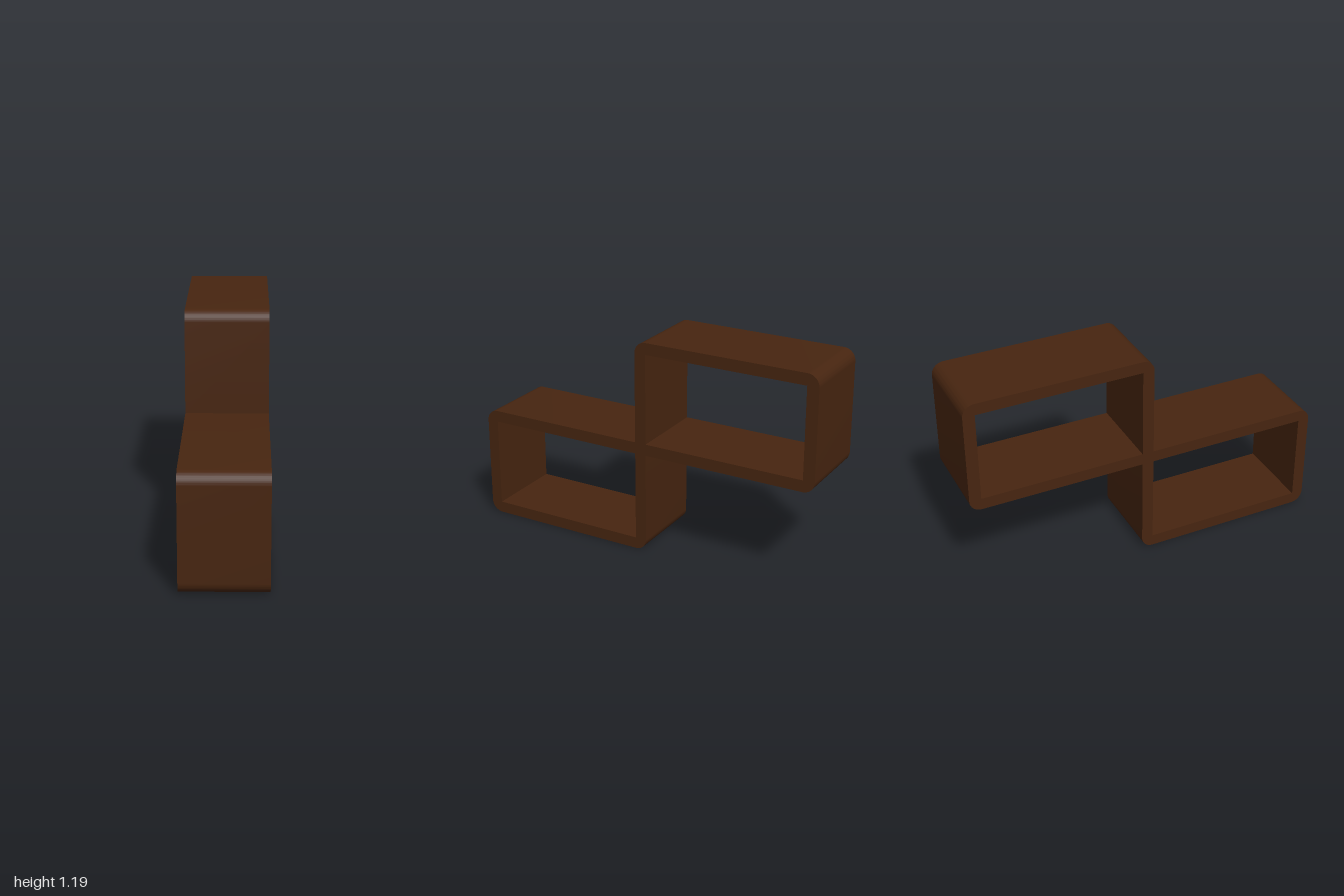
import * as THREE from 'three';
import { toCreasedNormals } from 'three/addons/utils/BufferGeometryUtils.js';

const HEIGHT = 1.19;   // overall height
const DEPTH = 0.45;    // shelf depth along x
const T = 0.032;       // half the board thickness
const R = 0.065;       // outer corner radius
const MID = HEIGHT / 2;

function rectHole(x0, y0, x1, y1) {
  const p = new THREE.Path();
  p.moveTo(x0, y0);
  p.lineTo(x0, y1);
  p.lineTo(x1, y1);
  p.lineTo(x1, y0);
  p.closePath();
  return p;
}

export function createModel() {
  const group = new THREE.Group();
  group.name = 'cubeShelf';
  const wood = new THREE.MeshStandardMaterial({ color: 0x472510 });
  wood.name = 'darkWood';

  // Silhouette of two offset boxes sharing a corner, with rounded outer corners
  const s = new THREE.Shape();
  const Q = Math.PI / 2;
  const corner = (x, y, a) => s.absarc(x, y, R, a, a + Q, false);
  s.moveTo(-1 + R, 0);
  corner(T - R, R, -Q);
  s.lineTo(T, MID - T);
  corner(1 - R, MID - T + R, -Q);
  corner(1 - R, HEIGHT - R, 0);
  corner(-T + R, HEIGHT - R, Q);
  s.lineTo(-T, MID + T);
  corner(-1 + R, MID + T - R, Q);
  corner(-1 + R, R, 2 * Q);

  // Square-cornered openings
  s.holes.push(
    rectHole(-1 + 2 * T, 2 * T, -T, MID - T),
    rectHole(T, MID + T, 1 - 2 * T, HEIGHT - 2 * T),
  );

  // Extrude across x, with the lower box towards the front
  let geo = new THREE.ExtrudeGeometry(s, { depth: DEPTH, bevelEnabled: false, curveSegments: 12 });
  geo.translate(0, 0, -DEPTH / 2);
  geo.rotateY(Math.PI / 2);
  geo = toCreasedNormals(geo, 0.6);

  const frame = new THREE.Mesh(geo, wood);
  frame.name = 'shelfFrame';
  group.add(frame);
  return group;
}
